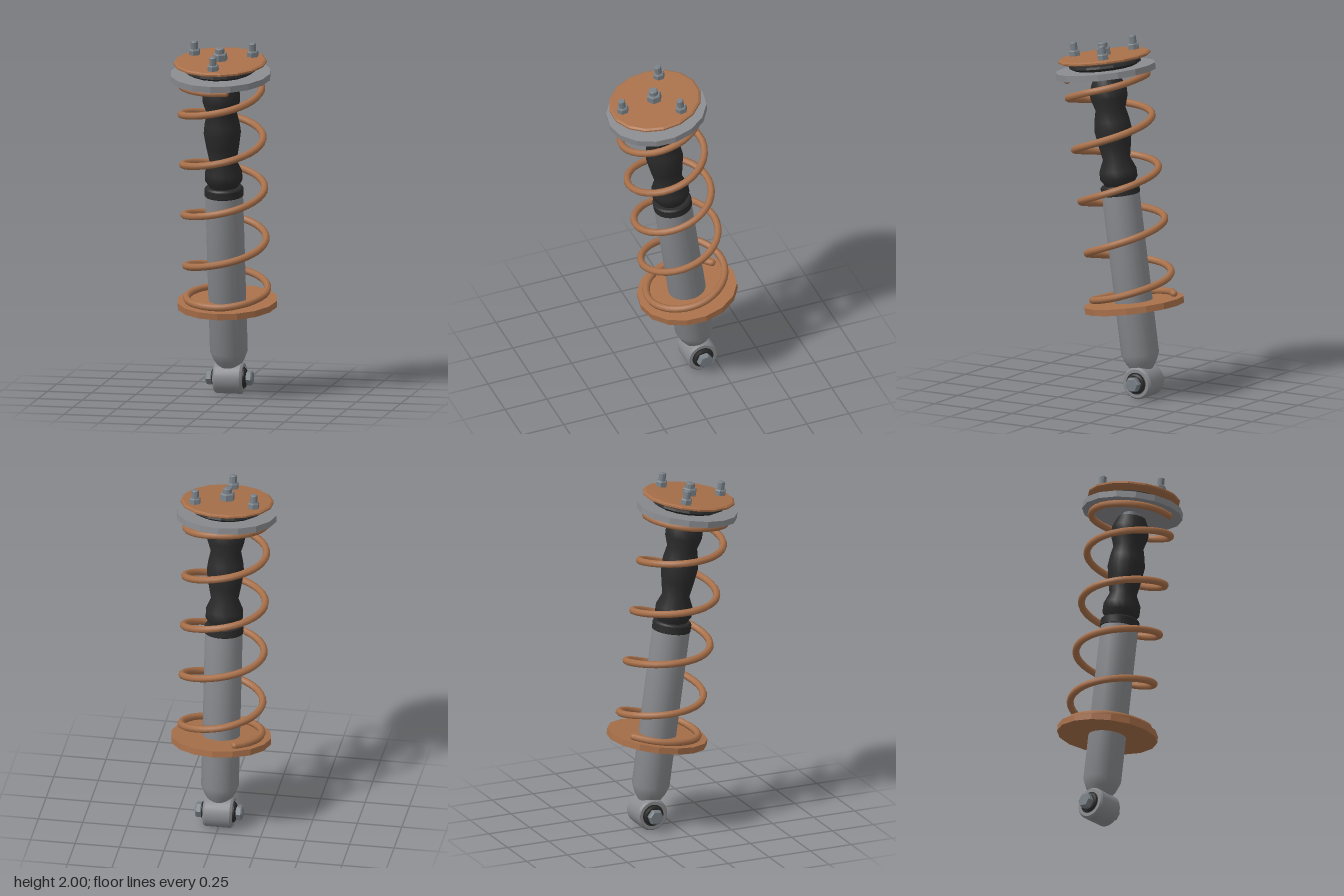
import * as THREE from 'three';
import { toCreasedNormals } from 'three/addons/utils/BufferGeometryUtils.js';

const paint = (name, color) => {
  const m = new THREE.MeshStandardMaterial({ color });
  m.name = name;
  return m;
};

export function createModel() {
  const copper = paint('copper', 0xa8704a);
  const grey = paint('grey', 0x8a8b8f);
  const rubber = paint('black rubber', 0x2a2a2a);
  const steel = paint('steel', 0x788086);

  const model = new THREE.Group();
  model.name = 'shockAbsorber';

  // Everything is built upright around the lower eye, then leaned forward
  const strut = new THREE.Group();
  strut.name = 'strut';
  strut.position.set(0, 0.09, -0.15);
  strut.rotation.x = THREE.MathUtils.degToRad(8);
  model.add(strut);

  const add = (name, geometry, material, parent = strut) => {
    const mesh = new THREE.Mesh(geometry, material);
    mesh.name = name;
    parent.add(mesh);
    return mesh;
  };

  // Turned part from [radius, height] pairs, bottom to top
  const turned = (name, profile, material, sides = 24, crease = 0.5, start = 0, parent = strut) => {
    const points = profile.map(([r, y]) => new THREE.Vector2(r, y));
    const g = new THREE.LatheGeometry(points, sides, start);
    return add(name, toCreasedNormals(g, crease), material, parent);
  };

  // Damper body, collar, rod and bellows boot
  turned('damperTube', [[0, 0.06], [0.06, 0.068], [0.085, 0.105], [0.105, 0.155], [0.105, 1.055], [0, 1.055]], grey);
  turned('bootCollar', [[0, 1.05], [0.1, 1.05], [0.108, 1.057], [0.108, 1.098], [0.1, 1.107], [0, 1.107]], rubber);
  turned('pistonRod', [[0.05, 1.05], [0.05, 1.74]], steel, 16);
  turned('bellowsBoot', [
    [0.075, 1.1], [0.104, 1.145], [0.104, 1.19], [0.076, 1.255], [0.092, 1.34], [0.104, 1.42],
    [0.098, 1.47], [0.084, 1.535], [0.104, 1.6], [0.104, 1.645], [0.078, 1.705], [0, 1.705],
  ], rubber, 20, 0.9);

  // Spring seats, top cushion and mounting plate
  turned('lowerSpringSeat', [[0, 0.416], [0.28, 0.416], [0.28, 0.452], [0, 0.452]], copper, 16, 0.1);
  turned('upperSpringSeat', [[0, 1.733], [0.28, 1.733], [0.28, 1.769], [0, 1.769]], grey, 16, 0.1);
  turned('topCushion', [[0, 1.76], [0.165, 1.765], [0.203, 1.787], [0.198, 1.8], [0.16, 1.817], [0, 1.817]], rubber, 16, 0.1);
  turned('topMountPlate', [[0, 1.815], [0.247, 1.816], [0.258, 1.822], [0.258, 1.831], [0.247, 1.838], [0, 1.84]],
    copper, 16, 0.1, Math.PI / 16);

  // Coil spring: [turn, height] keys, with flattened end coils
  const keys = [[-0.42, 0.466], [0, 0.47], [0.25, 0.505], [0.5, 0.565], [0.75, 0.643],
    [1, 0.72], [4, 1.595], [4.25, 1.665], [4.5, 1.706], [4.75, 1.713], [5.05, 1.713]];
  const heightAt = (turn) => {
    let i = 1;
    while (i < keys.length - 1 && turn > keys[i][0]) i++;
    const [t0, y0] = keys[i - 1];
    const [t1, y1] = keys[i];
    return THREE.MathUtils.mapLinear(turn, t0, t1, y0, y1);
  };
  const coil = [];
  const steps = 88;
  for (let i = 0; i <= steps; i++) {
    const turn = THREE.MathUtils.lerp(-0.42, 5.05, i / steps);
    const a = turn * Math.PI * 2;
    coil.push(new THREE.Vector3(0.226 * Math.sin(a), heightAt(turn), 0.226 * Math.cos(a)));
  }
  const coilPath = new THREE.CatmullRomCurve3(coil);
  add('coilSpring', new THREE.TubeGeometry(coilPath, steps * 2, 0.02, 8), copper);
  for (const end of [coil[0], coil[steps]]) {
    add('springEnd', new THREE.SphereGeometry(0.02, 8, 6), copper).position.copy(end);
  }

  // Hex nut with a threaded stud, standing on the mount plate
  const stud = (name, x, z, nutR, nutTop, boltR, boltTop) => {
    const g = new THREE.Group();
    g.name = name;
    g.position.set(x, 1.835, z);
    strut.add(g);
    turned('nut', [[0, 0], [nutR, 0], [nutR, nutTop - 0.006], [nutR * 0.86, nutTop], [0, nutTop]], steel, 6, 0.1, 0, g);
    turned('bolt', [[boltR, 0], [boltR, boltTop - 0.005], [boltR * 0.8, boltTop], [0, boltTop]], steel, 10, 0.6, 0, g);
  };
  stud('centreStud', 0, 0, 0.042, 0.045, 0.026, 0.074);
  for (let i = 0; i < 3; i++) {
    const a = (i * Math.PI * 2) / 3;
    stud('mountStud', 0.19 * Math.sin(a), 0.19 * Math.cos(a), 0.033, 0.035, 0.02, 0.08);
  }

  // Lower eye lying across the strut, with bushing and a bolt head at each end
  const eye = new THREE.Group();
  eye.name = 'lowerEye';
  eye.rotation.z = -Math.PI / 2;
  strut.add(eye);
  turned('eyeSleeve', [[0.062, -0.082], [0.08, -0.082], [0.09, -0.07], [0.09, 0.07], [0.08, 0.082], [0.062, 0.082]],
    grey, 24, 0.5, 0, eye);
  turned('eyeBushing', [[0, -0.08], [0.063, -0.08], [0.063, 0.08], [0, 0.08]], rubber, 24, 0.5, 0, eye);
  for (const side of [0, Math.PI]) {
    const end = new THREE.Group();
    end.name = 'eyeBolt';
    end.rotation.z = side;
    eye.add(end);
    turned('bushingLip', [[0.055, 0.07], [0.055, 0.088], [0.046, 0.095], [0, 0.095]], rubber, 16, 0.5, 0, end);
    turned('boltShank', [[0.026, 0.09], [0.026, 0.108]], steel, 12, 0.6, 0, end);
    turned('boltHead', [[0, 0.1], [0.044, 0.1], [0.044, 0.124], [0.036, 0.132], [0, 0.132]], steel, 6, 0.1, 0, end);
  }

  return model;
}
